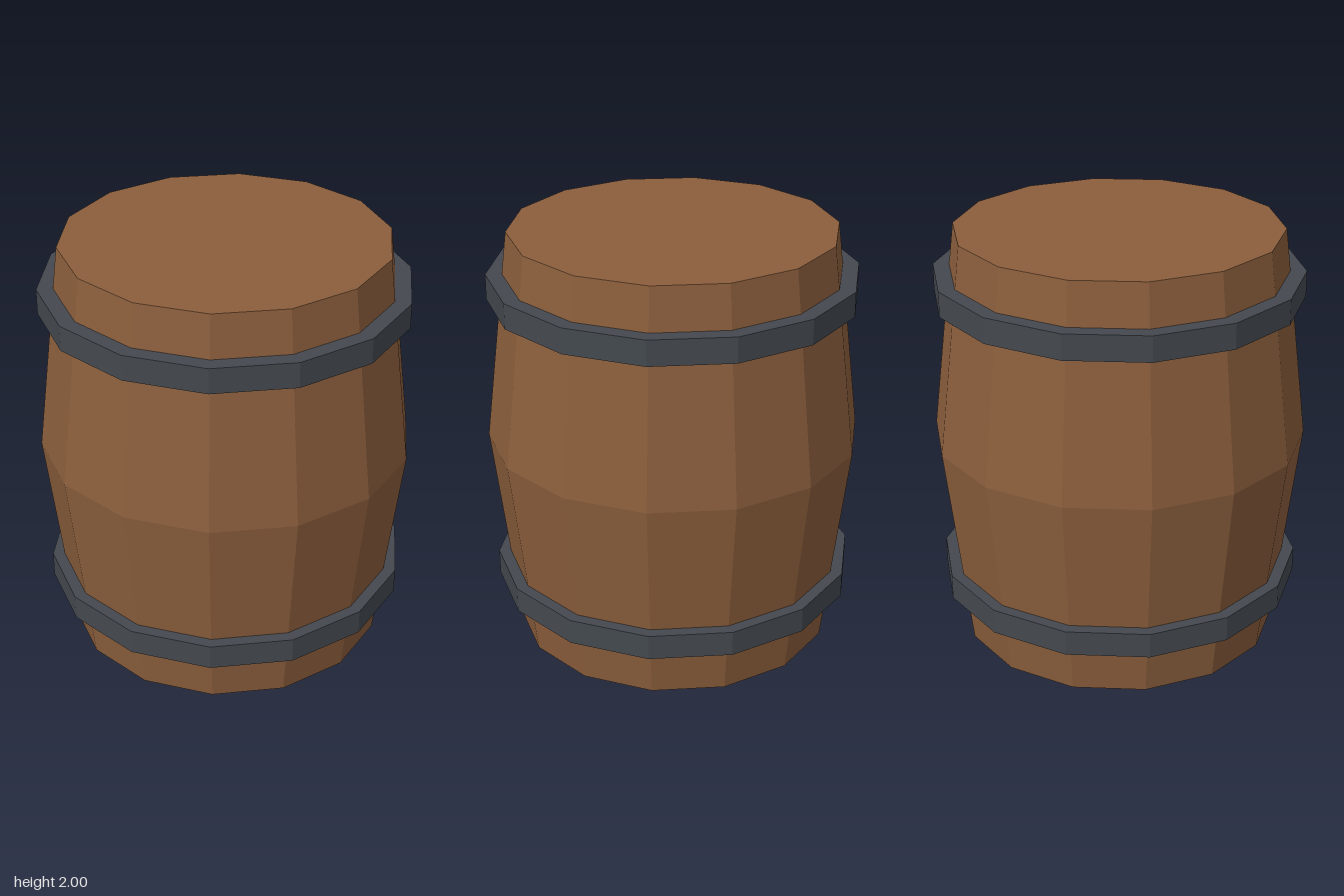
import * as THREE from 'three';

const SIDES = 14;

// Faceted solid of revolution with a corner on the +x axis; profile runs upwards on the outside
function turned(name, profile, material) {
  const points = profile.map(([r, y]) => new THREE.Vector2(r, y));
  const mesh = new THREE.Mesh(new THREE.LatheGeometry(points, SIDES, Math.PI / 2), material);
  mesh.name = name;
  return mesh;
}

export function createModel() {
  const wood = new THREE.MeshStandardMaterial({ color: 0x8b5e3c, flatShading: true });
  const iron = new THREE.MeshStandardMaterial({ color: 0x44494f, flatShading: true });

  const barrel = new THREE.Group();
  barrel.name = 'barrel';

  // Bulging wooden body with closed ends
  barrel.add(turned('body', [[0, 0], [0.76, 0], [0.88, 1], [0.76, 2], [0, 2]], wood));

  // Two iron hoops, inner faces sunk into the body
  const inner = 0.76, outer = 0.86, half = 0.06;
  for (const [name, y] of [['lowerHoop', 0.3], ['upperHoop', 1.74]]) {
    const hoop = turned(name, [
      [inner, -half], [outer, -half], [outer, half], [inner, half], [inner, -half],
    ], iron);
    hoop.position.y = y;
    barrel.add(hoop);
  }
  return barrel;
}
